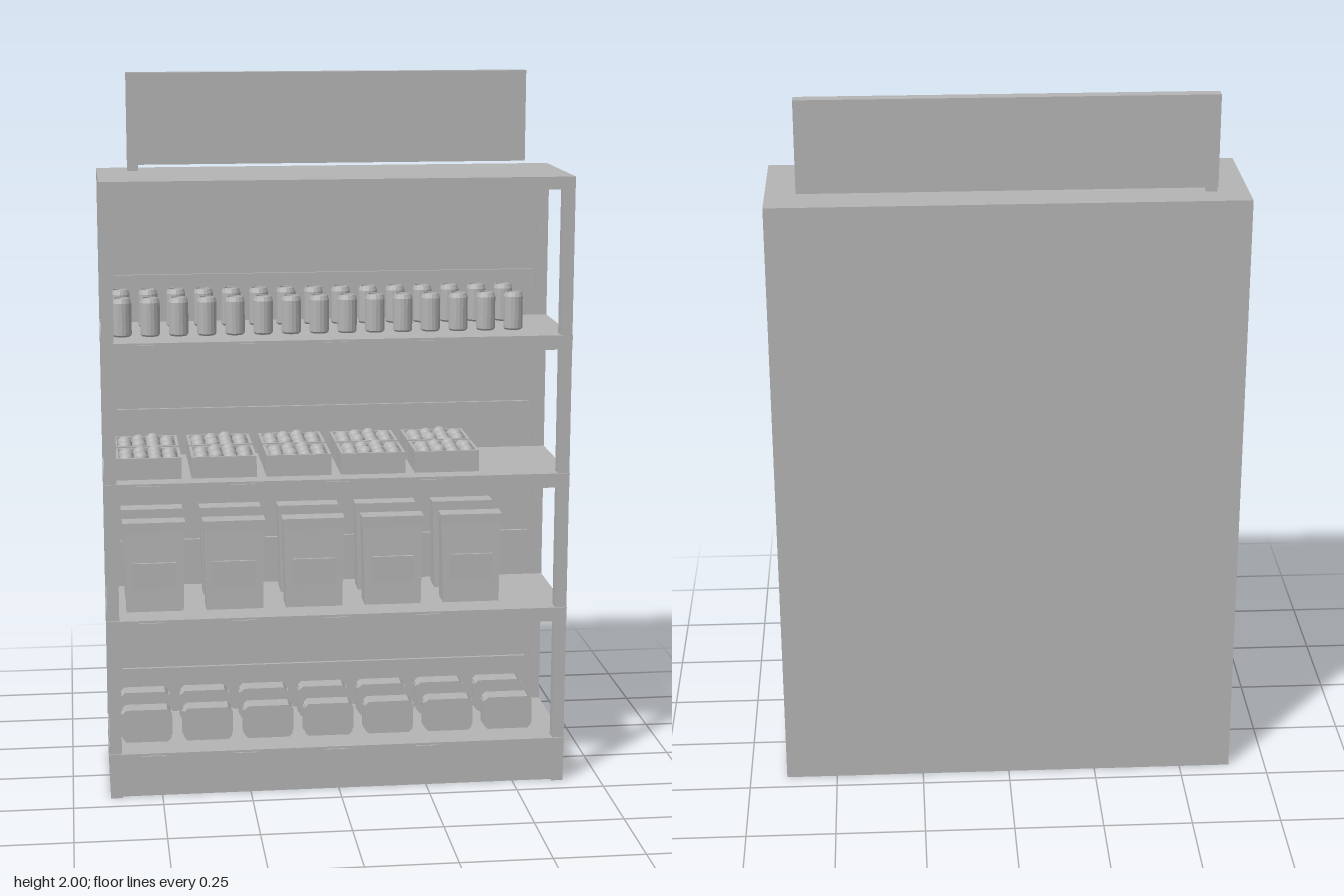
import * as THREE from 'three';

const grey = new THREE.MeshStandardMaterial({ color: 0xb4b4b4 });
grey.name = 'grey';

// Mesh from a geometry, added to a parent
function add(parent, name, geometry, x = 0, y = 0, z = 0) {
  const mesh = new THREE.Mesh(geometry, grey);
  mesh.name = name;
  mesh.position.set(x, y, z);
  parent.add(mesh);
  return mesh;
}

// Box given by its limits on each axis
function slab(parent, name, [x0, x1], [y0, y1], [z0, z1]) {
  return add(parent, name, new THREE.BoxGeometry(x1 - x0, y1 - y0, z1 - z0),
    (x0 + x1) / 2, (y0 + y1) / 2, (z0 + z1) / 2);
}

// Can with a narrowed rim and a sunken lid
function makeCan() {
  const g = new THREE.Group();
  const profile = [[0, 0], [0.023, 0], [0.027, 0.005], [0.027, 0.093], [0.022, 0.105], [0.02, 0.105], [0.02, 0.102], [0, 0.102]];
  const geo = new THREE.LatheGeometry(profile.map(p => new THREE.Vector2(...p)), 16).toNonIndexed();
  geo.computeVertexNormals();
  add(g, 'canBody', geo);
  return g;
}

// Open tray filled with round fruit
function makeTray() {
  const g = new THREE.Group();
  const w = 0.09, d = 0.069, t = 0.008, h = 0.06;
  slab(g, 'trayFloor', [-w, w], [0, 0.01], [-d, d]);
  for (const s of [-1, 1]) {
    add(g, 'trayLongSide', new THREE.BoxGeometry(2 * w, h, t), 0, h / 2, s * (d - t / 2));
    add(g, 'trayEnd', new THREE.BoxGeometry(t, h, 2 * d - 2 * t), s * (w - t / 2), h / 2, 0);
  }
  const fruit = new THREE.SphereGeometry(0.021, 10, 7);
  for (let i = 0; i < 4; i++) {
    for (let j = 0; j < 3; j++) {
      add(g, 'fruit', fruit, (i - 1.5) * 0.04, 0.046 + 0.007 * ((i + 2 * j) % 3) / 2, (j - 1) * 0.04);
    }
  }
  return g;
}

// Bag: narrower at its foot from the front, thinner at its top from the side
function makeBag() {
  const g = new THREE.Group();
  const body = new THREE.BoxGeometry(0.17, 0.225, 0.07);
  const p = body.attributes.position;
  for (let i = 0; i < p.count; i++) {
    const top = p.getY(i) > 0;
    p.setX(i, p.getX(i) * (top ? 1 : 0.94));
    p.setZ(i, p.getZ(i) * (top ? 0.75 : 1));
  }
  body.computeVertexNormals();
  add(g, 'bagBody', body, 0, 0.1125, 0);
  slab(g, 'bagFold', [-0.0875, 0.0875], [0.225, 0.255], [-0.023, 0.031]);
  slab(g, 'bagLabel', [-0.06, 0.06], [0.065, 0.14], [0.028, 0.037]);
  return g;
}

// Carton with clipped corners and narrow end plates
function makeCarton() {
  const g = new THREE.Group();
  const w = 0.068, h = 0.095, c = 0.01;
  const s = new THREE.Shape([[-w + c, 0], [w - c, 0], [w, c], [w, h - c], [w - c, h], [-w + c, h], [-w, h - c], [-w, c]]
    .map(p => new THREE.Vector2(...p)));
  const geo = new THREE.ExtrudeGeometry(s, { depth: 0.053, bevelEnabled: false });
  geo.translate(0, 0, -0.0265);
  add(g, 'cartonBody', geo);
  slab(g, 'cartonEnds', [-0.072, 0.072], [0.014, 0.081], [-0.015, 0.015]);
  return g;
}

// Two rows of one product on a shelf
function stock(parent, name, make, count, x0, step, y) {
  for (const z of [0.07, -0.087]) {
    for (let i = 0; i < count; i++) {
      const item = make();
      item.name = name;
      item.position.set(x0 + i * step, y, z);
      parent.add(item);
    }
  }
}

export function createModel() {
  const root = new THREE.Group();
  root.name = 'shopShelf';
  const W = 0.645, B = -0.198, F = 0.188, T = 1.73;

  // Frame
  for (const s of [-1, 1]) {
    const xs = s < 0 ? [-W, -W + 0.033] : [W - 0.033, W];
    slab(root, 'frontPost', xs, [0, T - 0.035], [F - 0.034, F]);
    slab(root, 'backPost', xs, [0, T - 0.035], [B, B + 0.034]);
    slab(root, 'baseSide', xs, [0, 0.09], [B + 0.034, F - 0.034]);
  }
  slab(root, 'topBoard', [-W, W], [T - 0.035, T], [B, F]);
  slab(root, 'base', [-W + 0.033, W - 0.033], [0, 0.09], [B + 0.034, F - 0.012]);

  // Back wall with a groove between its panels
  slab(root, 'backWall', [-W + 0.033, W - 0.033], [0, T - 0.035], [B, B + 0.024]);
  const edges = [0.09, 0.27, 0.658, 1.047, 1.435, T - 0.03];
  for (let i = 0; i < 5; i++) {
    slab(root, 'backPanel', [-0.6, 0.6], [edges[i] + 0.006, edges[i + 1] - 0.006], [B + 0.024, B + 0.034]);
  }

  // Shelves with front lips and price tags
  const tops = [0.13, 0.517, 0.905, 1.295];
  for (const y of tops) {
    slab(root, 'shelf', [-W, W], [y - 0.024, y], [B + 0.034, F - 0.034]);
    slab(root, 'shelfFront', [-W + 0.033, W - 0.033], [y - 0.024, y], [F - 0.034, F]);
    slab(root, 'shelfLip', [-W, W], [y - 0.04, y], [F - 0.004, 0.193]);
    for (let i = 0; i < 4; i++) {
      const x = -0.558 + i * 0.258;
      slab(root, 'priceTag', [x, x + 0.067], [y - 0.037, y - 0.006], [0.193, 0.198]);
    }
  }

  // Products
  stock(root, 'carton', makeCarton, 7, -0.538, 0.173, tops[0]);
  stock(root, 'bag', makeBag, 5, -0.51, 0.224, tops[1]);
  stock(root, 'fruitTray', makeTray, 5, -0.522, 0.2075, tops[2]);
  stock(root, 'can', makeCan, 15, -0.587, 0.0777, tops[3]);

  // Header board on its foot
  slab(root, 'headerBoard', [-0.56, 0.56], [1.747, 2], [-0.133, -0.098]);
  slab(root, 'headerFoot', [-0.56, -0.53], [T, 1.747], [-0.115, -0.098]);
  return root;
}
